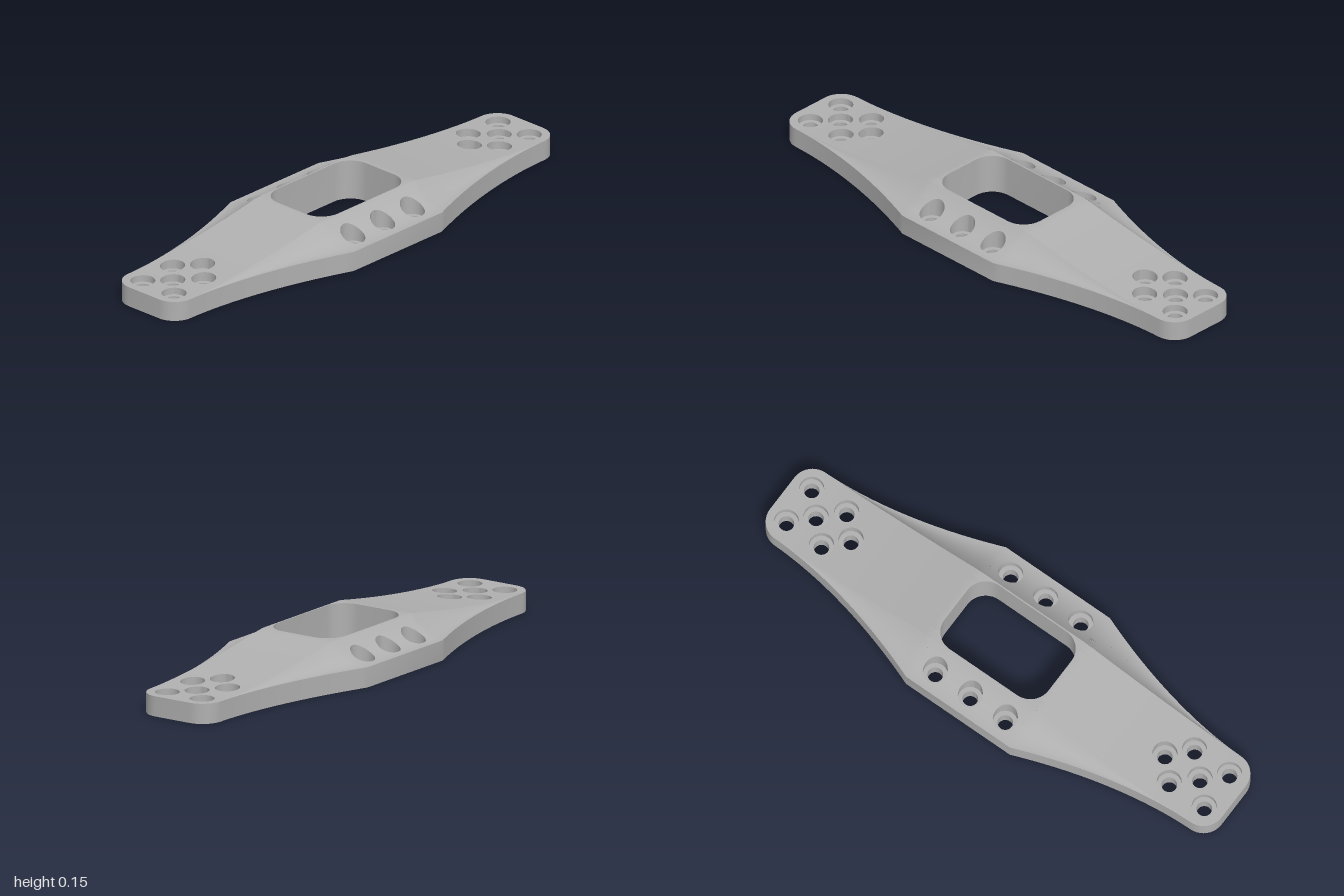
import * as THREE from 'three';
import { toCreasedNormals } from 'three/addons/utils/BufferGeometryUtils.js';

const EDGE = 0.075, TOP = 0.15, RIDGE = 0.155, WIDE = 0.305; // heights and half widths
const WALL = 0.018, SKIN = 0.02; // shell thicknesses
const WIN_X = 0.23, WIN_Z = 0.15, CORNER = 0.08;
const V = (x, y) => new THREE.Vector2(x, y);
const fade = (x, from, p) => Math.pow(1 - THREE.MathUtils.clamp((Math.abs(x) - from) / (0.92 - from), 0, 1), p);

// Plan half width, crown height, and the concave flank between crown and edge
const halfWidth = (x) => RIDGE + (WIDE - RIDGE) * fade(x, 0.23, 1.8);
const deckHeight = (x) => EDGE + (TOP - EDGE) * fade(x, 0.24, 1.6);
const flankHeight = (x, z) => {
  const u = THREE.MathUtils.clamp((Math.abs(z) - RIDGE) / Math.max(halfWidth(x) - RIDGE, 1e-3), -0.2, 1.2);
  return EDGE + (deckHeight(x) - EDGE) * (1 - u) ** 2;
};
const height = (x, z) => (Math.abs(z) <= RIDGE ? deckHeight(x) : flankHeight(x, z));
const under = (x, z) => height(x, z) - SKIN;
const level = (y) => () => y;

// Plan loops, counter-clockwise seen from above
const mirror4 = (q) => {
  const r = [...q].reverse();
  return [...q, ...r.map((p) => V(-p.x, p.y)), ...q.map((p) => V(-p.x, -p.y)), ...r.map((p) => V(p.x, -p.y))];
};
const arc = (cx, cy, r, n = 10) => Array.from({ length: n + 1 }, (_, i) => {
  const a = (i / n) * Math.PI / 2;
  return V(cx + r * Math.cos(a), cy + r * Math.sin(a));
});
const endArc = (d) => arc(1 - CORNER, RIDGE - CORNER, CORNER - d);
const bodyLoop = (d) => {
  const q = endArc(d);
  for (let i = 1; i <= 24; i++) {
    const x = 0.92 - 0.69 * i / 24;
    q.push(V(x, halfWidth(x) - d));
  }
  return mirror4(q);
};
const deckLoop = () => mirror4(endArc(0));
const windowLoop = (d) => mirror4(arc(WIN_X - CORNER, WIN_Z - CORNER, CORNER + d));
const circle = (c, r, n = 32) => Array.from({ length: n }, (_, i) => {
  const a = (i / n) * Math.PI * 2;
  return V(c.x + r * Math.cos(a), c.y + r * Math.sin(a));
});

// Upright wall along a closed loop; inward faces the inside of the loop
function ribbon(loop, y0, y1, inward = false) {
  const pts = inward ? [...loop].reverse() : loop, pos = [];
  const at = (p, f) => [p.x, f(p.x, -p.y), -p.y];
  pts.forEach((a, i) => {
    const b = pts[(i + 1) % pts.length];
    pos.push(...at(a, y0), ...at(b, y0), ...at(b, y1), ...at(a, y0), ...at(b, y1), ...at(a, y1));
  });
  const g = new THREE.BufferGeometry();
  g.setAttribute('position', new THREE.Float32BufferAttribute(pos, 3));
  return toCreasedNormals(g, 0.6);
}

// Surface over a plan shape with holes, split finely and raised to y = f(x, z)
function sheet(loop, holes, f, { limit = 0.04, down = false } = {}) {
  const shape = new THREE.Shape(loop);
  shape.holes = holes.map((h) => new THREE.Path(h));
  const flat = new THREE.ShapeGeometry(shape), src = flat.attributes.position, idx = flat.index.array;
  const pos = [], nor = [], e = 1e-3, s = down ? -1 : 1;
  const put = (p) => {
    const x = p.x, z = -p.y;
    pos.push(x, f(x, z), z);
    const n = new THREE.Vector3((f(x - e, z) - f(x + e, z)) / (2 * e), 1, (f(x, z - e) - f(x, z + e)) / (2 * e));
    n.normalize().multiplyScalar(s);
    nor.push(n.x, n.y, n.z);
  };
  // Halve the longest side until every side is short
  const split = (a, b, c) => {
    const ab = a.distanceTo(b), bc = b.distanceTo(c), ca = c.distanceTo(a);
    if (Math.max(ab, bc, ca) <= limit) {
      (down ? [a, c, b] : [a, b, c]).forEach(put);
      return;
    }
    const [p, q, r] = ab >= bc && ab >= ca ? [a, b, c] : bc >= ca ? [b, c, a] : [c, a, b];
    const mid = p.clone().add(q).multiplyScalar(0.5);
    split(p, mid, r);
    split(mid, q, r);
  };
  const at = (i) => V(src.getX(idx[i]), src.getY(idx[i]));
  for (let i = 0; i < idx.length; i += 3) split(at(i), at(i + 1), at(i + 2));
  const g = new THREE.BufferGeometry();
  g.setAttribute('position', new THREE.Float32BufferAttribute(pos, 3));
  g.setAttribute('normal', new THREE.Float32BufferAttribute(nor, 3));
  return g;
}

export function createModel() {
  const model = new THREE.Group();
  model.name = 'mountingPlate';
  const grey = new THREE.MeshStandardMaterial({ color: 0xb0b0b0, side: THREE.DoubleSide });
  grey.name = 'grey';
  const add = (name, geometry, parent = model) => {
    const mesh = new THREE.Mesh(geometry, grey);
    mesh.name = name;
    parent.add(mesh);
  };
  const ring = (outer, inner, y, down) => sheet(outer, [inner], level(y), { limit: 9, down });

  // Screw positions: six at each end, three on each flank
  const endHoles = [], flankHoles = [];
  for (const s of [-1, 1]) {
    for (const x of [0.925, 0.77]) endHoles.push(V(s * x, 0.077), V(s * x, -0.077));
    for (const x of [0.85, 0.695]) endHoles.push(V(s * x, 0));
    for (const x of [-0.155, 0, 0.155]) flankHoles.push(V(x, s * 0.23));
  }
  const bore = (c) => circle(c, 0.045);

  // Crown and flanks, each with its underside
  const deckHoles = [windowLoop(0), ...endHoles.map(bore)];
  add('deck', sheet(deckLoop(), deckHoles, deckHeight));
  add('deckUnderside', sheet(deckLoop(), deckHoles, (x) => deckHeight(x) - SKIN, { down: true }));
  for (const s of [-1, 1]) {
    const loop = Array.from({ length: 81 }, (_, i) => {
      const x = 0.92 - 1.84 * i / 80;
      return V(x, s * halfWidth(x));
    });
    const holes = flankHoles.filter((c) => c.y * s > 0).map(bore);
    const side = s > 0 ? 'back' : 'front';
    add(side + 'Flank', sheet(loop, holes, flankHeight));
    add(side + 'FlankUnderside', sheet(loop, holes, (x, z) => flankHeight(x, z) - SKIN, { down: true }));
  }

  // Outer wall and window wall
  add('outerWall', ribbon(bodyLoop(0), level(0), level(EDGE)));
  add('outerWallInside', ribbon(bodyLoop(WALL), level(0), under, true));
  add('outerWallRim', ring(bodyLoop(0), bodyLoop(WALL), 0, true));
  add('windowWall', ribbon(windowLoop(0), level(0), deckHeight, true));
  add('windowWallOutside', ribbon(windowLoop(WALL), level(0), under));
  add('windowWallRim', ring(windowLoop(WALL), windowLoop(0), 0, true));

  // Counterbored screw bosses
  for (const c of [...endHoles, ...flankHoles]) {
    const boss = new THREE.Group();
    boss.name = 'screwBoss';
    model.add(boss);
    const hole = circle(c, 0.028), tube = circle(c, 0.042), cup = circle(c, 0.056);
    add('counterbore', ribbon(bore(c), level(0.05), height, true), boss);
    add('counterboreFloor', ring(bore(c), hole, 0.05, false), boss);
    add('screwHole', ribbon(hole, level(0), level(0.05), true), boss);
    add('bossTube', ribbon(tube, level(0), level(0.035)), boss);
    add('bossRim', ring(tube, hole, 0, true), boss);
    add('cupUnderside', ring(cup, tube, 0.035, true), boss);
    add('cupWall', ribbon(cup, level(0.035), (x, z) => height(x, z) - 0.012), boss);
  }

  // Ribs from the window corners to the outer wall
  for (const sx of [-1, 1]) for (const sz of [-1, 1]) {
    const line = Array.from({ length: 9 }, (_, i) => V(sx * (0.215 + 0.0025 * i), sz * (0.13 + 0.02 * i)));
    const shift = (d) => line.map((p) => V(p.x + d, p.y));
    const loop = [...shift(0.007), ...shift(-0.007).reverse()];
    if (sz < 0) loop.reverse();
    add('rib', ribbon(loop, level(0), under));
    add('ribRim', sheet(loop, [], level(0), { limit: 9, down: true }));
  }
  return model;
}
